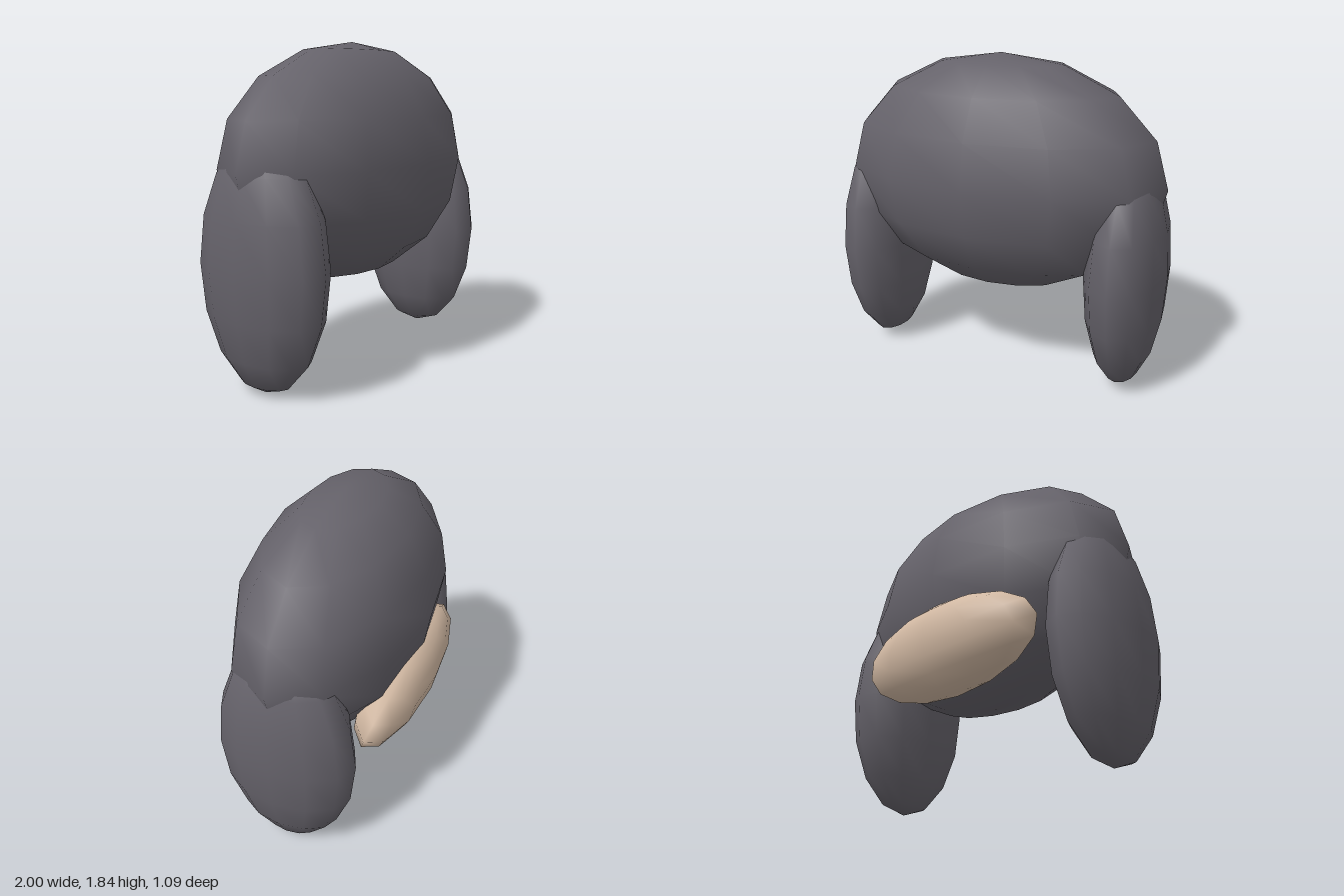
import * as THREE from 'three';

const charcoal = new THREE.MeshStandardMaterial({ name: 'charcoal', color: 0x65626a });
const tan = new THREE.MeshStandardMaterial({ name: 'tan', color: 0xd2b9a3 });

// Low-poly ball mapped onto three semi-axes, which may lean
function ellipsoid(name, material, centre, xAxis, yAxis, zAxis) {
  const geometry = new THREE.SphereGeometry(1, 12, 8);
  geometry.applyMatrix4(new THREE.Matrix4().makeBasis(
    new THREE.Vector3(...xAxis), new THREE.Vector3(...yAxis), new THREE.Vector3(...zAxis)));
  const mesh = new THREE.Mesh(geometry, material);
  mesh.name = name;
  mesh.position.set(...centre);
  return mesh;
}

export function createModel() {
  const model = new THREE.Group();
  model.name = 'model';

  // Wide main body
  model.add(ellipsoid('body', charcoal, [0, 1.165, 0.03],
    [0.97, 0, 0], [0, 0.675, 0], [0, 0, 0.515]));

  // Hanging side lobes
  for (const side of [1, -1]) {
    model.add(ellipsoid(side > 0 ? 'leftLobe' : 'rightLobe', charcoal, [side * 0.777, 0.675, 0.03],
      [0.223, 0, 0], [0, 0.673, 0], [0, 0, 0.4]));
  }

  // Leaning pad low on the back
  model.add(ellipsoid('backPad', tan, [0, 0.737, -0.357],
    [0.65, 0, 0], [0, 0.246, -0.087], [0, 0.086, 0.165]));

  return model;
}
